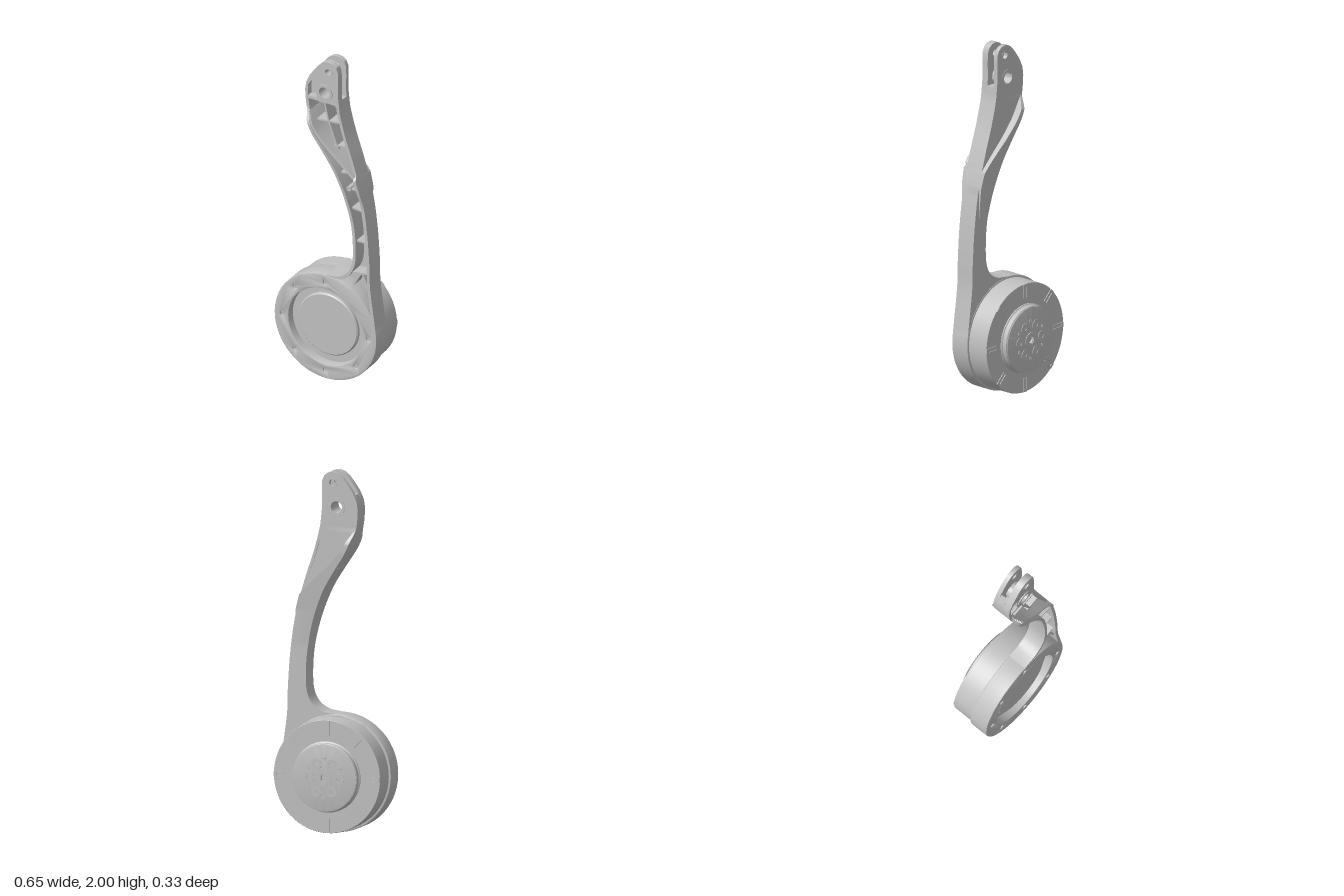
import * as THREE from 'three';
import { toCreasedNormals } from 'three/addons/utils/BufferGeometryUtils.js';

const grey = new THREE.MeshStandardMaterial({ color: 0xc0c0c0 });
grey.name = 'light grey metal';

const CY = 0.33;             // height of the hub axis
const BACK = 0.01, FRONT = 0.121, WALL = 0.018;

function add(parent, name, geo, x = 0, y = 0, z = 0) {
  const m = new THREE.Mesh(geo, grey);
  m.name = name;
  m.position.set(x, y, z);
  parent.add(m);
  return m;
}

// Solid turned about the z axis; profile [radius, z] from back to front
function turned(profile, seg = 64) {
  const g = new THREE.LatheGeometry(profile.map(p => new THREE.Vector2(...p)), seg);
  g.rotateX(Math.PI / 2);
  return toCreasedNormals(g, 0.5);
}

// Ring with square section
const washer = (ri, ro, z0, z1, seg = 28) =>
  turned([[ri, z1], [ri, z0], [ro, z0], [ro, z1], [ri, z1]], seg);

function plate(shape, z0, z1, bevel = 0) {
  const g = new THREE.ExtrudeGeometry(shape, {
    depth: z1 - z0 - 2 * bevel, curveSegments: 40, bevelEnabled: bevel > 0,
    bevelSize: bevel, bevelThickness: bevel, bevelOffset: -bevel, bevelSegments: 2,
  });
  g.translate(0, 0, z0 + bevel);
  return toCreasedNormals(g, 0.5);
}

const circle = (x, y, r) => new THREE.Path().absarc(x, y, r, 0, Math.PI * 2, true);
const poly = pts => new THREE.Shape(pts.map(p => new THREE.Vector2(...p)));

// Curve read as x from y
function edge(pts) {
  const s = new THREE.SplineCurve(pts.map(p => new THREE.Vector2(...p))).getPoints(300);
  return y => {
    let i = 1;
    while (i < s.length - 1 && s[i].y < y) i++;
    const t = (y - s[i - 1].y) / (s[i].y - s[i - 1].y || 1);
    return THREE.MathUtils.lerp(s[i - 1].x, s[i].x, THREE.MathUtils.clamp(t, 0, 1));
  };
}
const left = edge([[0.285, 0.36], [0.26, 0.46], [0.19, 0.55], [0.1, 0.615], [0.0, 0.654],
  [0.07, 0.665], [0.13, 0.7], [0.165, 0.76], [0.175, 0.85], [0.166, 1.0], [0.13, 1.17],
  [0.07, 1.33], [0, 1.45], [-0.07, 1.56], [-0.115, 1.67], [-0.127, 1.74]]);
const right = edge([[0.324, 0.36], [0.31, 0.46], [0.285, 0.65], [0.28, 0.8], [0.265, 1.0],
  [0.235, 1.2], [0.18, 1.4], [0.13, 1.55], [0.095, 1.68], [0.086, 1.74]]);

// Extra thickness of the arm and the diagonal where it stops
const bulge = y => y < 1.6
  ? 0.043 * THREE.MathUtils.clamp((y - 1.03) / 0.53, 0, 1)
  : 0.043 * (1 - THREE.MathUtils.smoothstep(y, 1.6, 1.69));
const diagonal = edge([[0.23, 1.28], [0.195, 1.325], [0.13, 1.39], [0.04, 1.475],
  [-0.035, 1.56], [-0.09, 1.65], [-0.122, 1.7]]);

// Open channel arm lofted from cross-sections
function armGeometry() {
  const n = 150, pos = [], idx = [], k = 10;
  for (let i = 0; i <= n; i++) {
    const y = 0.36 + (1.745 - 0.36) * i / n;
    const L = left(y), R = right(y), b = bulge(y);
    const w = Math.min(WALL, (R - L) * 0.4);
    const d = THREE.MathUtils.clamp(diagonal(y), L, R);
    const inL = Math.min(R - w, Math.max(L + w, y > 0.65 ? left(y + 0.02) + 0.008 : 0));
    const bR = b * THREE.MathUtils.clamp((d - R + w) / w, 0, 1);
    const floor = 0.032 - b * 0.7;
    [[L, BACK - b], [d, BACK - b], [d, BACK], [R, BACK], [R, FRONT + bR], [R - w, FRONT + bR],
      [R - w, floor], [inL, floor], [inL, FRONT + b], [L, FRONT + b]]
      .forEach(([x, z]) => pos.push(x, y, z));
  }
  for (let i = 0; i < n; i++) for (let j = 0; j < k; j++) {
    const a = i * k + j, b = i * k + (j + 1) % k;
    idx.push(a, b + k, b, a, a + k, b + k);
  }
  const g = new THREE.BufferGeometry();
  g.setAttribute('position', new THREE.Float32BufferAttribute(pos, 3));
  g.setIndex(idx);
  return toCreasedNormals(g, 0.4);
}

// Upright rib between two points of the channel
function rib(parent, x1, y1, x2, y2, top = 0.105, thick = 0.01) {
  const z0 = 0.015;
  const m = add(parent, 'channelRib',
    new THREE.BoxGeometry(Math.hypot(x2 - x1, y2 - y1), thick, top - z0),
    (x1 + x2) / 2, (y1 + y2) / 2, (top + z0) / 2);
  m.rotation.z = Math.atan2(y2 - y1, x2 - x1);
}

function buildArm() {
  const arm = new THREE.Group();
  arm.name = 'arm';
  add(arm, 'armChannel', armGeometry());
  // cross ribs, slightly tilted
  for (const [y, tilt] of [[0.72, 0.02], [0.92, 0], [1.115, -0.01],
    [1.235, 0.01], [1.33, 0.02], [1.48, 0.03], [1.62, 0.02]])
    rib(arm, left(y) + 0.008, y - tilt / 2, right(y) - 0.008, y + tilt / 2);
  // long ribs in the upper and lower part
  rib(arm, -0.02, 1.745, 0.01, 1.62);
  rib(arm, 0.01, 1.62, 0.07, 1.46);
  rib(arm, 0.215, 0.72, 0.17, 0.64);
  rib(arm, 0.225, 0.72, 0.27, 0.62);
  add(arm, 'channelBoss', washer(0.006, 0.015, 0.02, 0.11), 0.142, 1.235);
  // diagonal rib following the bulge
  const steps = 32, y0 = 1.33, dy = (1.665 - y0) / steps;
  for (let i = 0; i < steps; i++) {
    const y1 = y0 + i * dy, y2 = y1 + dy * 1.1;
    rib(arm, diagonal(y1), y1, diagonal(y2), y2, FRONT + bulge((y1 + y2) / 2), 0.014);
  }
  return arm;
}

function buildFork() {
  const fork = new THREE.Group();
  fork.name = 'forkHead';
  // outline, counter-clockwise
  const outer = [[0.086, 1.74], [0.08, 1.8], [0.081, 1.9], [0.079, 1.95], [0.067, 1.978],
    [0.045, 1.995], [0.015, 2], [-0.015, 1.99], [-0.042, 1.968], [-0.072, 1.93], [-0.1, 1.89],
    [-0.123, 1.84], [-0.13, 1.79], [-0.127, 1.74]];
  const pivot = [-0.005, 1.805], pin = [0.018, 1.94];
  const prong = () => {
    const s = poly(outer);
    s.holes.push(circle(...pivot, 0.034), circle(...pin, 0.02));
    return s;
  };
  const frontShape = prong();
  frontShape.holes.push(poly([[-0.112, 1.757], [-0.113, 1.82], [-0.092, 1.855], [-0.062, 1.858],
    [-0.058, 1.83], [-0.062, 1.79], [-0.055, 1.757]]));
  add(fork, 'backProng', plate(prong(), BACK, 0.035));
  add(fork, 'frontProng', plate(frontShape, 0.081, FRONT));
  // web closing the slot below and on the lower left
  add(fork, 'slotWeb', plate(poly([[0.086, 1.74], [0.083, 1.765], [-0.095, 1.765],
    [-0.105, 1.79], [-0.1, 1.84], [-0.088, 1.875], [-0.108, 1.875], ...outer.slice(11)]),
  0.035, 0.081));
  add(fork, 'pocketFloor', new THREE.BoxGeometry(0.07, 0.115, 0.008), -0.08, 1.81, 0.077);
  add(fork, 'pivotBush', washer(0.033, 0.05, 0.008, 0.127, 40), ...pivot);
  add(fork, 'pinBushFront', washer(0.019, 0.026, 0.082, 0.123), ...pin);
  add(fork, 'pinBushBack', washer(0.019, 0.026, 0.008, 0.034), ...pin);
  return fork;
}

function buildHousing() {
  const g = new THREE.Group();
  g.name = 'hubHousing';
  g.position.y = CY;
  // flange with seven screw holes
  const ring = new THREE.Shape().absarc(0, 0, 0.326, 0, Math.PI * 2, false);
  ring.holes.push(circle(0, 0, 0.236));
  for (let i = 2; i <= 8; i++) {
    const a = i * Math.PI / 4, x = 0.275 * Math.cos(a), y = 0.275 * Math.sin(a);
    ring.holes.push(circle(x, y, 0.014));
    add(g, 'flangeScrew', washer(0.006, 0.016, 0.02, 0.113, 16), x, y);
  }
  add(g, 'flange', plate(ring, 0.008, 0.123, 0.006));
  add(g, 'frontCover', turned([[0, 0.012], [0.245, 0.012], [0.245, 0.075], [0.19, 0.075],
    [0.19, 0.09], [0.183, 0.097], [0, 0.097]]));
  return g;
}

function buildMotor() {
  const g = new THREE.Group();
  g.name = 'motor';
  g.position.y = CY;
  add(g, 'motorDrum', turned([[0, -0.12], [0.311, -0.12], [0.313, -0.117], [0.313, 0.012], [0, 0.012]]));
  // radial clips on the back rim
  for (let i = 0; i < 8; i++) {
    const clip = new THREE.Group();
    clip.name = 'rimClip';
    clip.rotation.z = i * Math.PI / 4;
    for (const s of [-1, 1])
      add(clip, 'clipRail', new THREE.BoxGeometry(0.08, 0.007, 0.012), 0.271, s * 0.011, -0.118);
    add(clip, 'clipEnd', new THREE.BoxGeometry(0.014, 0.028, 0.012), 0.304, 0, -0.118);
    g.add(clip);
  }
  // output hub with a shallow groove and a centre bore
  add(g, 'outputHub', turned([[0, -0.15], [0.02, -0.15], [0.02, -0.163], [0.18, -0.163],
    [0.187, -0.161], [0.187, -0.158], [0.181, -0.157], [0.189, -0.153], [0.19, -0.13],
    [0.197, -0.125], [0.197, -0.11]]));
  add(g, 'centreRing', washer(0.024, 0.042, -0.167, -0.155));
  for (let i = 0; i < 6; i++) {
    const a = i * Math.PI / 3, b = a + Math.PI / 6;
    add(g, 'hubScrew', washer(0.013, 0.03, -0.166, -0.155, 20), 0.088 * Math.cos(a), 0.088 * Math.sin(a));
    add(g, 'hubPin', washer(0.004, 0.011, -0.166, -0.155, 14), 0.108 * Math.cos(b), 0.108 * Math.sin(b));
  }
  return g;
}

export function createModel() {
  const model = new THREE.Group();
  model.name = 'pivotArm';
  model.add(buildArm(), buildFork(), buildHousing(), buildMotor());
  return model;
}
